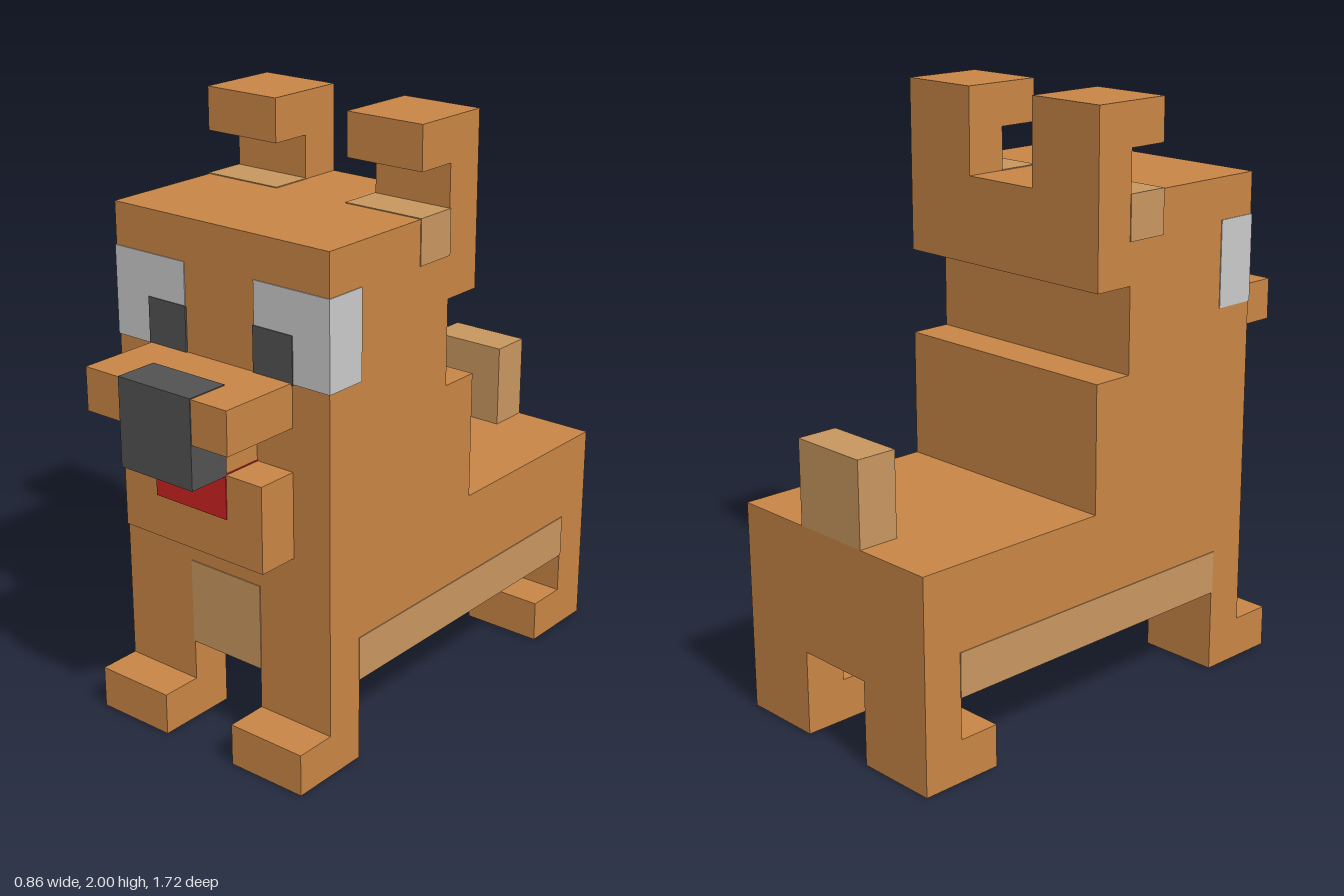
import * as THREE from 'three';

// Everything sits on a block grid: 14 blocks tall = 2 units
const U = 2 / 14;

const flat = (name, color) => {
  const m = new THREE.MeshStandardMaterial({ color });
  m.name = name;
  return m;
};

export function createModel() {
  const model = new THREE.Group();
  model.name = 'blockDog';

  const fur = flat('orangeFur', 0xc88545);
  const tan = flat('tanFur', 0xc8965f);
  const white = flat('eyeWhite', 0xc9c9c9);
  const black = flat('darkGrey', 0x525252);
  const red = flat('tongueRed', 0xcc2222);

  const add = (name, geometry, material) => {
    const mesh = new THREE.Mesh(geometry, material);
    mesh.name = name;
    model.add(mesh);
  };

  // Box between block corners; skin swells it slightly so painted blocks show
  const block = (name, material, x0, x1, y0, y1, z0, z1, skin = 0) => {
    const s = 2 * skin;
    const g = new THREE.BoxGeometry((x1 - x0) * U + s, (y1 - y0) * U + s, (z1 - z0) * U + s);
    g.translate((x0 + x1) / 2 * U, (y0 + y1) / 2 * U, (z0 + z1) / 2 * U);
    add(name, g, material);
  };

  // Side outline of [z, y] block corners, extruded from x0 to x1
  const slab = (name, material, outline, x0, x1) => {
    const shape = new THREE.Shape(outline.map(([z, y]) => new THREE.Vector2(z * U, y * U)));
    const g = new THREE.ExtrudeGeometry(shape, { depth: (x1 - x0) * U, bevelEnabled: false });
    g.rotateY(-Math.PI / 2).translate(x1 * U, 0, 0);
    add(name, g, material);
  };

  // Body, neck and head share one outline
  slab('bodyAndHead', fur, [
    [-6, 2], [4, 2], [4, 12], [-1, 12], [-1, 10], [0, 10], [0, 8], [-1, 8], [-1, 5], [-6, 5],
  ], -3, 3);

  // Paired parts
  const P = 0.003;
  for (const [side, s] of [['left', 1], ['right', -1]]) {
    const span = (a, b) => (s > 0 ? [a, b] : [-b, -a]);
    const outer = span(1, 3);
    slab(side + 'FrontLeg', fur, [[3, 0], [5, 0], [5, 1], [4, 1], [4, 2], [3, 2]], ...outer);
    slab(side + 'HindLeg', fur, [[-6, 0], [-4, 0], [-4, 1], [-5, 1], [-5, 2], [-6, 2]], ...outer);
    slab(side + 'Ear', fur, [[-1, 12], [0, 12], [0, 13], [1, 13], [1, 14], [-1, 14]], ...outer);
    block(side + 'EarPatch', tan, ...outer, 11, 12, 0, 1, P);
    block(side + 'Eye', white, ...outer, 9, 11, 3, 4, P);
    block(side + 'Pupil', black, ...span(1, 2), 9, 10, 3, 4, 2 * P);
    block(side + 'BellyStripe', tan, ...span(2, 3), 2, 3, -5, 3, P);
  }

  // Muzzle
  block('snout', fur, -2, 2, 8, 9, 4, 6);
  block('mouth', fur, -1, 1, 7, 8, 4, 5);
  block('jaw', fur, -2, 2, 5, 7, 4, 5);
  block('nose', black, -1, 1, 7, 9, 5, 6, P);
  block('tongue', red, -1, 1, 6, 7, 4, 5, P);

  // Chest patch and tail
  block('chestPatch', tan, -1, 1, 2, 4, 3, 4, P);
  block('tail', tan, -1, 1, 5, 7, -6, -5);

  return model;
}
